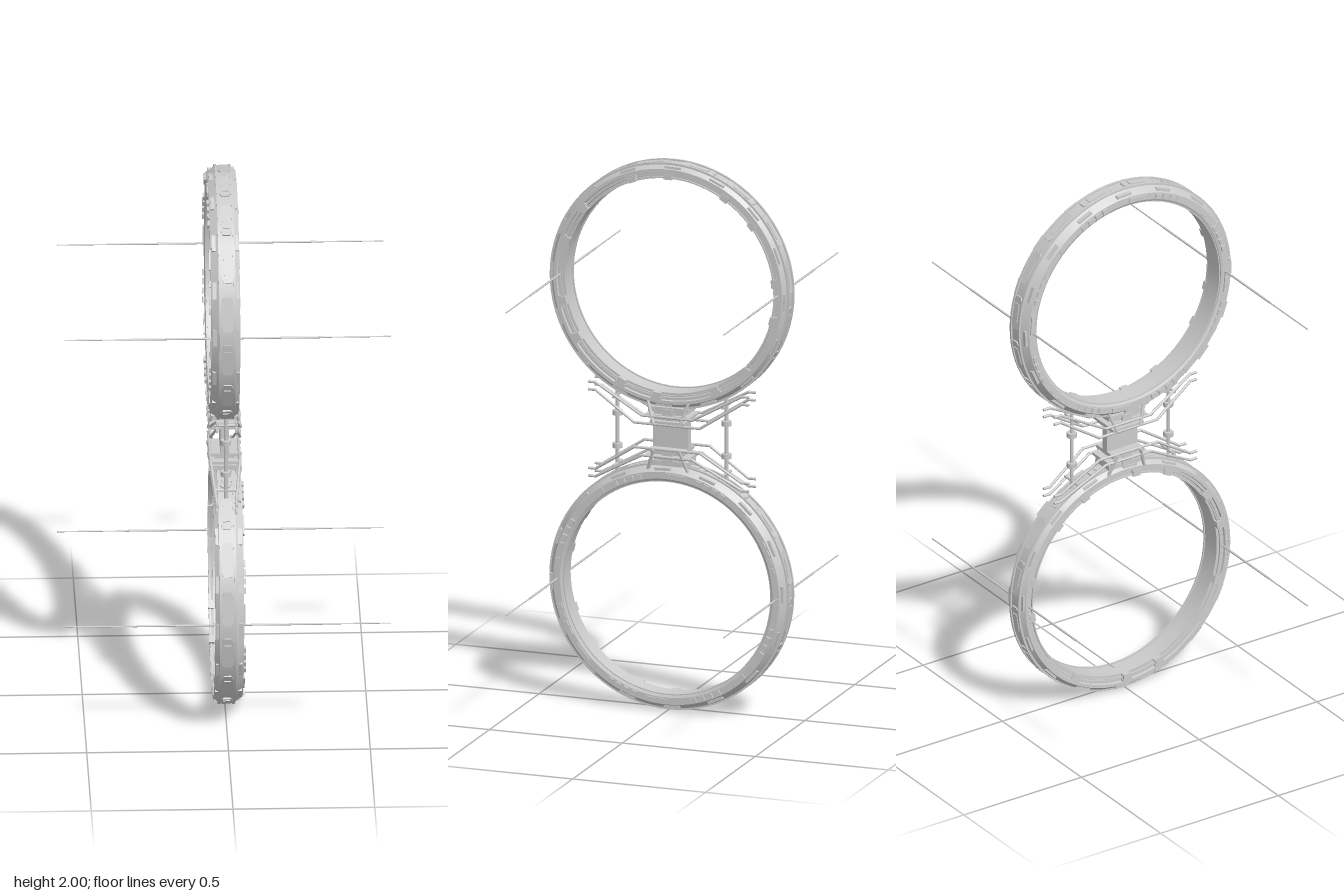
import * as THREE from 'three';
import { toCreasedNormals } from 'three/addons/utils/BufferGeometryUtils.js';

const material = new THREE.MeshStandardMaterial({ color: 0xcccccc });

function add(parent, name, geometry, x = 0, y = 0, z = 0) {
  const mesh = new THREE.Mesh(geometry, material);
  mesh.name = name;
  mesh.position.set(x, y, z);
  parent.add(mesh);
  return mesh;
}

const box = (parent, name, w, h, d, x, y, z) =>
  add(parent, name, new THREE.BoxGeometry(w, h, d), x, y, z);

// Closed [x, radius] profile spun around the x axis
function hoop(parent, name, profile) {
  const points = [...profile, profile[0]].map(([x, r]) => new THREE.Vector2(r, x));
  const geometry = new THREE.LatheGeometry(points, 96).rotateZ(-Math.PI / 2);
  add(parent, name, toCreasedNormals(geometry, 0.4));
}

// Straight-sided band between two x positions and two radii
const band = (parent, name, x0, x1, inner, outer) =>
  hoop(parent, name, [[x0, inner], [x0, outer], [x1, outer], [x1, inner]]);

// Block at a given angle and radius on the ring, facing outward
function around(parent, name, degrees, radius, x, w, thick, long) {
  const a = THREE.MathUtils.degToRad(degrees);
  const mesh = box(parent, name, w, thick, long, x, radius * Math.cos(a), radius * Math.sin(a));
  mesh.rotation.x = a;
}

// Straight round bars joined through a list of points
function pipe(parent, name, points, radius) {
  const path = new THREE.CurvePath();
  for (let i = 1; i < points.length; i++) {
    path.add(new THREE.LineCurve3(points[i - 1], points[i]));
  }
  for (const line of path.curves) {
    const length = line.getLength();
    const mesh = add(parent, name, new THREE.CylinderGeometry(radius, radius, length + radius, 8));
    mesh.position.copy(line.getPoint(0.5));
    mesh.quaternion.setFromUnitVectors(new THREE.Vector3(0, 1, 0), line.getTangent(0));
  }
}

// Outer plate with narrowed ends, lying on the rim
function rimPlateGeometry() {
  const shape = new THREE.Shape([
    [-0.013, -0.062], [0.013, -0.062], [0.021, -0.045], [0.021, 0.045],
    [0.013, 0.062], [-0.013, 0.062], [-0.021, 0.045], [-0.021, -0.045],
  ].map(([x, y]) => new THREE.Vector2(x, y)));
  const geometry = new THREE.ExtrudeGeometry(shape, { depth: 0.008, bevelEnabled: false });
  return geometry.rotateX(-Math.PI / 2);
}

function createRing() {
  const ring = new THREE.Group();
  ring.name = 'ring';

  // Main hull: smooth inner wall, chamfered rim, stepped right face
  hoop(ring, 'ringHull', [
    [-0.054, 0.392], [-0.058, 0.4], [-0.058, 0.425], [-0.03, 0.444], [0.026, 0.444],
    [0.044, 0.43], [0.044, 0.418], [0.036, 0.416], [0.036, 0.406], [0.028, 0.404], [0.028, 0.392],
  ]);
  for (const x of [-0.027, 0.024]) band(ring, 'rimRidge', x - 0.004, x + 0.004, 0.44, 0.45);
  band(ring, 'innerRail', 0.036, 0.042, 0.397, 0.402);
  band(ring, 'innerLip', -0.05, -0.044, 0.388, 0.394);

  // Rim plates with raised panels, and ribs between them
  const plate = rimPlateGeometry();
  for (let i = 0; i < 16; i++) {
    const degrees = 9 + i * 22.5;
    const a = THREE.MathUtils.degToRad(degrees);
    const mesh = add(ring, 'rimPlate', plate, 0, 0.437 * Math.cos(a), 0.437 * Math.sin(a));
    mesh.rotation.x = a;
    around(ring, 'rimPanel', degrees, 0.4455, 0, 0.024, 0.006, 0.07);
    around(ring, 'chamferRib', degrees + 11.25, 0.433, -0.046, 0.014, 0.01, 0.06);
    around(ring, 'chamferRib', degrees + 11.25, 0.436, 0.036, 0.01, 0.008, 0.06);
  }

  // Clips holding the inner rail
  for (let i = 0; i < 14; i++) {
    const degrees = i * 360 / 14 + (i % 2 ? -6 : 0);
    around(ring, 'railClip', degrees, 0.402, 0.037, 0.018, 0.02, 0.03);
    around(ring, 'clipFoot', degrees, 0.413, 0.04, 0.01, 0.01, 0.04);
  }

  // Side face panels: long plates and ladders of short blocks
  for (let i = 0; i < 8; i++) {
    const start = i * 45;
    around(ring, 'sidePanel', start + 5, 0.412, -0.059, 0.008, 0.016, 0.075);
    for (let j = 0; j < 4; j++) {
      around(ring, 'sideBlock', start + 17 + j * 4.5, 0.412, -0.06, 0.01, 0.018, 0.021);
    }
  }

  // Long thin aerials crossing the ring at the front and back
  for (const z of [-0.41, 0.41]) {
    const parts = [['aerialCore', 0.0038, 0.67], ['aerial', 0.0025, 1.15]];
    for (const [name, radius, length] of parts) {
      const geometry = new THREE.CylinderGeometry(radius, radius, length, 8).rotateZ(Math.PI / 2);
      add(ring, name, geometry, 0, 0.004, z);
    }
  }
  return ring;
}

// Half of the connector, from the middle up to the upper ring
function createConnectorHalf() {
  const half = new THREE.Group();
  half.name = 'connectorHalf';
  box(half, 'neck', 0.03, 0.06, 0.13, 0, 0.03, 0);
  box(half, 'collar', 0.11, 0.012, 0.13, 0, 0.052, 0);
  box(half, 'collarCore', 0.07, 0.05, 0.11, 0, 0.078, 0);
  box(half, 'collarPlate', 0.096, 0.01, 0.17, 0, 0.074, 0);
  box(half, 'ringSaddle', 0.085, 0.018, 0.15, 0, 0.098, 0);

  for (const x of [-1, 1]) {
    box(half, 'collarRib', 0.012, 0.04, 0.04, x * 0.04, 0.08, 0);
    for (const z of [-1, 1]) {
      // Two bent pipes running out along the ring on each side
      for (const drop of [0, 0.028]) {
        pipe(half, 'bentPipe', [
          new THREE.Vector3(x * 0.052, 0.073 - drop, 0),
          new THREE.Vector3(x * 0.052, 0.073 - drop, z * (0.095 + drop)),
          new THREE.Vector3(x * 0.034, 0.172 - drop, z * 0.275),
          new THREE.Vector3(x * 0.034, 0.172 - drop, z * 0.3),
        ], 0.005);
      }
      pipe(half, 'slantStrut', [
        new THREE.Vector3(x * 0.056, 0.05, z * 0.05),
        new THREE.Vector3(x * 0.04, 0.125, z * 0.075),
      ], 0.006);
    }
  }

  // Upright poles with clamps and cross bars
  for (const z of [-0.205, 0.205]) {
    pipe(half, 'pole', [new THREE.Vector3(0, 0, z), new THREE.Vector3(0, 0.165, z)], 0.007);
    add(half, 'poleClamp', new THREE.CylinderGeometry(0.018, 0.018, 0.018, 12), 0, 0.06, z);
    pipe(half, 'poleCrossBar', [
      new THREE.Vector3(-0.04, 0.125, z), new THREE.Vector3(0.04, 0.125, z),
    ], 0.005);
  }
  return half;
}

export function createModel() {
  const model = new THREE.Group();
  model.name = 'twinRings';

  // The lower half is the upper half turned half a circle about z
  for (const turned of [false, true]) {
    const side = new THREE.Group();
    side.name = turned ? 'lowerHalf' : 'upperHalf';
    const ring = createRing();
    ring.position.y = 0.55;
    side.add(ring, createConnectorHalf());
    side.position.y = 1;
    if (turned) side.rotation.z = Math.PI;
    model.add(side);
  }
  return model;
}
